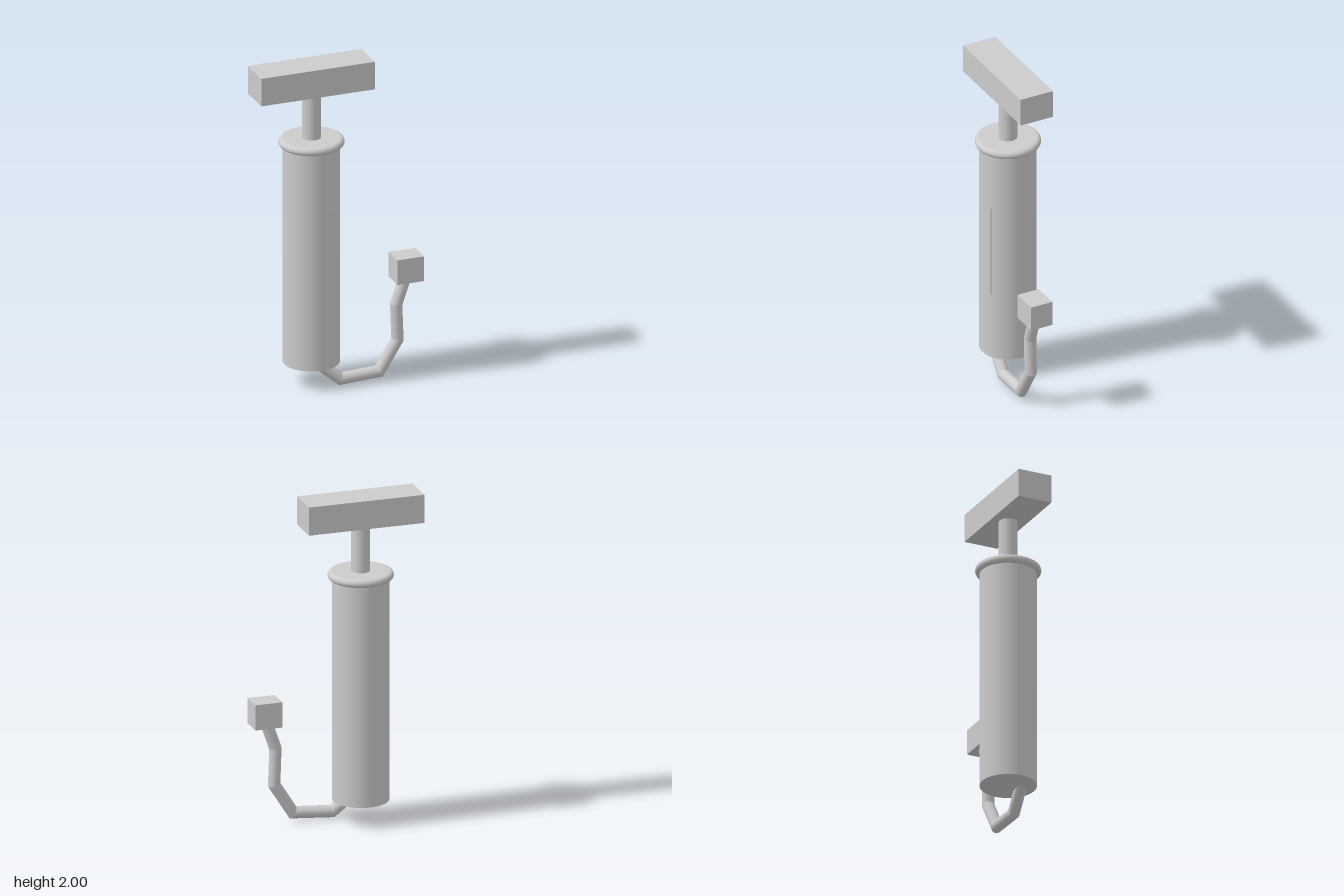
import * as THREE from 'three';

const metal = new THREE.MeshStandardMaterial({ color: 0xcccccc });
metal.name = 'light grey';

const AXIS_X = -0.14; // the pump body stands left of centre

function add(group, name, geometry, x = 0, y = 0, z = 0) {
  const mesh = new THREE.Mesh(geometry, metal);
  mesh.name = name;
  mesh.position.set(x, y, z);
  group.add(mesh);
  return mesh;
}

// One straight hose piece whose ends are cut on the given mitre planes
function hosePiece(a, b, startNormal, endNormal, radius) {
  const dir = b.clone().sub(a).normalize();
  const geo = new THREE.CylinderGeometry(radius, radius, a.distanceTo(b), 24, 1, true);
  geo.applyQuaternion(new THREE.Quaternion().setFromUnitVectors(new THREE.Vector3(0, 1, 0), dir));
  const mid = a.clone().add(b).multiplyScalar(0.5);
  geo.translate(mid.x, mid.y, mid.z);
  const pos = geo.attributes.position;
  const v = new THREE.Vector3();
  for (let i = 0; i < pos.count; i++) {
    v.fromBufferAttribute(pos, i);
    const atEnd = v.clone().sub(mid).dot(dir) > 0;
    const n = atEnd ? endNormal : startNormal;
    const slide = (atEnd ? b : a).clone().sub(v).dot(n) / dir.dot(n);
    v.addScaledVector(dir, slide);
    pos.setXYZ(i, v.x, v.y, v.z);
  }
  return geo;
}

export function createModel() {
  const model = new THREE.Group();
  model.name = 'handPump';

  // Barrel, plunger rod and grip
  add(model, 'barrel', new THREE.CylinderGeometry(0.167, 0.167, 1.38, 64), AXIS_X, 0.825, 0);
  add(model, 'plungerRod', new THREE.CylinderGeometry(0.055, 0.055, 0.33, 40), AXIS_X, 1.675, 0);
  add(model, 'handle', new THREE.BoxGeometry(0.71, 0.173, 0.213), AXIS_X, 1.9135, -0.001);

  // Rounded collar closing the top of the barrel
  const collar = new THREE.Shape();
  collar.moveTo(0, -0.025);
  const rim = [new THREE.Vector2(0, -0.025)];
  for (let i = 0; i <= 12; i++) {
    const t = -Math.PI / 2 + (Math.PI * i) / 12;
    rim.push(new THREE.Vector2(0.168 + 0.025 * Math.cos(t), 0.025 * Math.sin(t)));
  }
  rim.push(new THREE.Vector2(0, 0.025));
  add(model, 'collar', new THREE.LatheGeometry(rim, 64), AXIS_X, 1.515, 0);

  // Thin raised seam on the front of the barrel
  add(model, 'seam', new THREE.BoxGeometry(0.007, 0.58, 0.008), -0.068, 0.845, 0.152);

  // Angular hose from under the barrel up to the nozzle
  const path = [
    [-0.15, 0.165, 0.083], [0, 0.041, 0.105], [0.238, 0.057, 0.114],
    [0.353, 0.24, 0.114], [0.345, 0.463, 0.114], [0.41, 0.65, 0.114],
  ].map((p) => new THREE.Vector3(...p));
  const dirs = path.slice(1).map((p, i) => p.clone().sub(path[i]).normalize());
  const normals = path.map((_, i) => {
    const before = dirs[Math.max(i - 1, 0)];
    const after = dirs[Math.min(i, dirs.length - 1)];
    return before.clone().add(after).normalize();
  });
  const hose = new THREE.Group();
  hose.name = 'hose';
  for (let i = 0; i < dirs.length; i++) {
    add(hose, 'hosePiece' + (i + 1), hosePiece(path[i], path[i + 1], normals[i], normals[i + 1], 0.036));
  }
  model.add(hose);

  // Block nozzle
  add(model, 'nozzle', new THREE.BoxGeometry(0.167, 0.155, 0.14), 0.4085, 0.6875, 0.115);

  return model;
}
